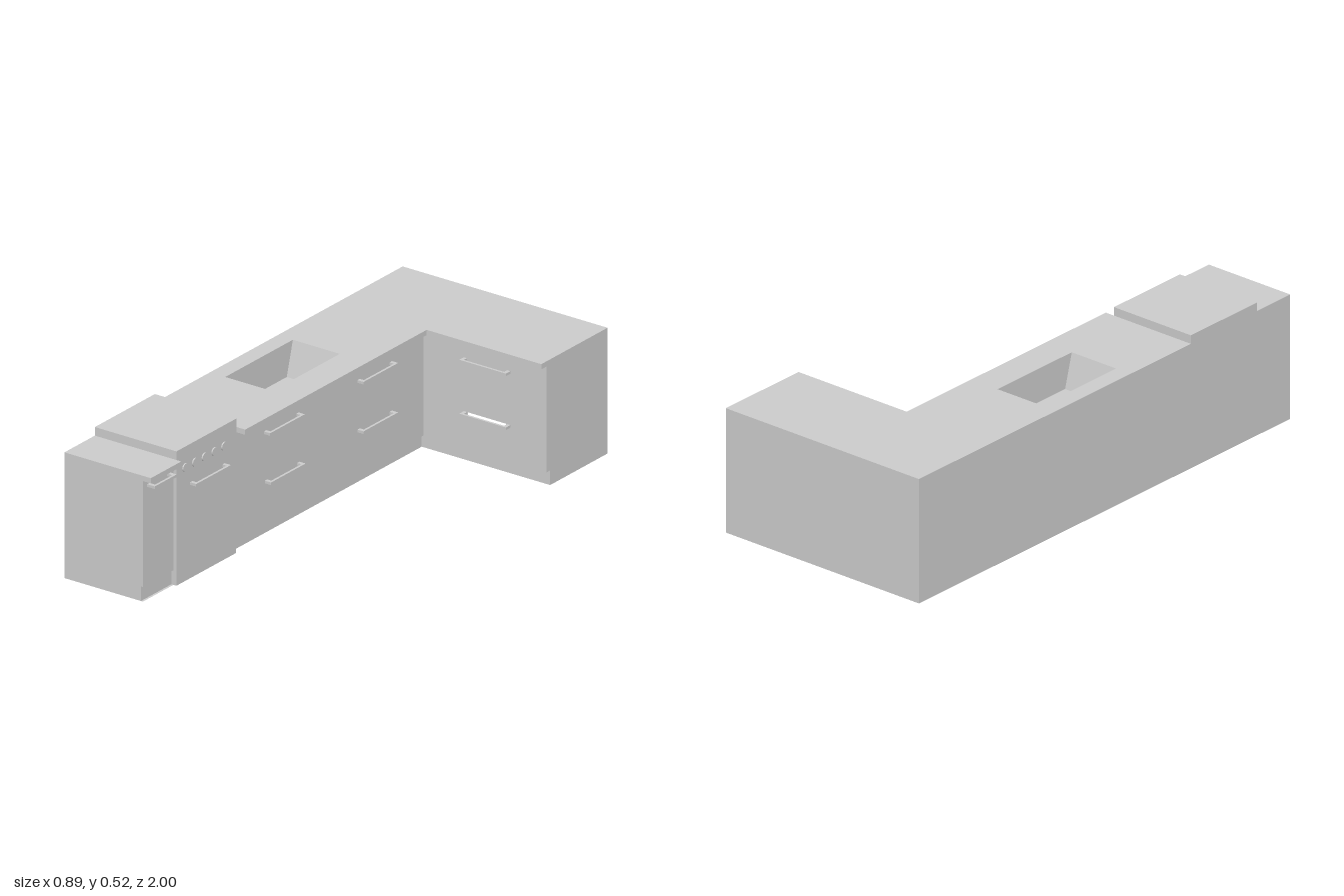
import * as THREE from 'three';

const W = 0.447;                  // half width
const TOP = 0.483, UNDER = 0.463; // worktop upper and lower faces
const KICK = 0.056;               // plinth height
const FRONT = -0.091;             // long run front plane
const END_FRONT = -0.104;         // end cabinet front plane
const PLINTH = -0.113;            // plinth plane of both
const single = new THREE.MeshStandardMaterial({ color: 0xcccccc });
const double = new THREE.MeshStandardMaterial({ color: 0xcccccc, side: THREE.DoubleSide });

export function createModel() {
  const model = new THREE.Group();

  const add = (name, geometry, material = single, parent = model) => {
    const mesh = new THREE.Mesh(geometry, material);
    mesh.name = name;
    parent.add(mesh);
    return mesh;
  };

  // Box given by its minimum and maximum corners
  const box = (name, x0, y0, z0, x1, y1, z1, parent = model) => {
    const g = new THREE.BoxGeometry(x1 - x0, y1 - y0, z1 - z0);
    g.translate((x0 + x1) / 2, (y0 + y1) / 2, (z0 + z1) / 2);
    add(name, g, single, parent);
  };

  // Upright panel from (xa, za) on its left to (xb, zb) on its right, seen from outside
  const panel = (name, xa, za, xb, zb, y0, y1) => {
    const g = new THREE.PlaneGeometry(Math.hypot(xb - xa, zb - za), y1 - y0);
    g.rotateY(Math.atan2(za - zb, xb - xa));
    g.translate((xa + xb) / 2, (y0 + y1) / 2, (za + zb) / 2);
    add(name, g, double);
  };

  // Downward-facing horizontal strip
  const ledge = (name, x0, z0, x1, z1, y = KICK) => {
    const g = new THREE.PlaneGeometry(x1 - x0, z1 - z0).rotateX(Math.PI / 2);
    g.translate((x0 + x1) / 2, y, (z0 + z1) / 2);
    add(name, g, double);
  };

  const points = list => list.map(([x, y]) => new THREE.Vector2(x, y));

  // L-shaped worktop with the sink cut-out
  const outline = new THREE.Shape(points([
    [-W, -1], [W, -1], [W, -0.608], [-0.053, -0.608], [-0.053, 0.465], [-W, 0.465],
  ]));
  const sx0 = -0.38, sx1 = -0.175, sz0 = -0.26, sz1 = 0.14;
  outline.holes.push(new THREE.Path(points([
    [sx0, sz0], [sx0, sz1], [sx1, sz1], [sx1, sz0],
  ])));
  const slab = new THREE.ExtrudeGeometry(outline, { depth: TOP - UNDER, bevelEnabled: false });
  slab.rotateX(Math.PI / 2).translate(0, TOP, 0);
  add('worktop', slab);
  box('endWorktop', -W, UNDER, 0.82, -0.07, TOP, 1);

  // Sink basin: inside-out box, no lid, ends sloping in toward the floor
  const depth = 0.13;
  const basin = new THREE.BoxGeometry(sx1 - sx0, depth, sz1 - sz0);
  const p = basin.attributes.position;
  for (let i = 0; i < p.count; i++) {
    if (p.getY(i) < 0) p.setZ(i, p.getZ(i) * 0.82);
  }
  basin.setIndex([...basin.index.array].filter((_, i) => i < 12 || i > 17).reverse());
  basin.computeVertexNormals();
  basin.translate((sx0 + sx1) / 2, TOP - depth / 2, (sz0 + sz1) / 2);
  add('sinkBasin', basin, double);
  const drain = new THREE.CylinderGeometry(0.018, 0.018, 0.002, 20);
  add('drain', drain).position.set(-0.322, TOP - depth + 0.001, -0.07);

  // Outer carcass, open underneath
  panel('backWall', W, -1, -W, -1, 0, UNDER);
  panel('sideWall', -W, -1, -W, 1, 0, UNDER);
  panel('endWall', -W, 1, END_FRONT, 1, KICK, UNDER);
  panel('endWallFoot', -W, 1, PLINTH, 1, 0, KICK);
  panel('shortRunEnd', W, -0.64, W, -1, KICK, UNDER);
  panel('shortRunEndFoot', W, -0.66, W, -1, 0, KICK);

  // Cabinet fronts; the short run has a narrow slot behind each handle
  panel('longRunFront', FRONT, 0.468, FRONT, -0.64, KICK, UNDER);
  panel('endCabinetFront', END_FRONT, 1, END_FRONT, 0.82, KICK, UNDER);
  const shortFront = new THREE.Shape(points([
    [FRONT, KICK], [W, KICK], [W, UNDER], [FRONT, UNDER],
  ]));
  const shortHandleX = 0.187, shortHandleYs = [0.398, 0.191];
  for (const y of shortHandleYs) {
    const x0 = shortHandleX - 0.083, x1 = shortHandleX + 0.083;
    shortFront.holes.push(new THREE.Path(points([
      [x0, y - 0.005], [x0, y + 0.005], [x1, y + 0.005], [x1, y - 0.005],
    ])));
  }
  add('shortRunFront', new THREE.ShapeGeometry(shortFront), double).position.z = -0.64;

  // Recessed plinths and the ledges over them
  panel('longRunPlinth', PLINTH, 0.468, PLINTH, -0.66, 0, KICK);
  panel('shortRunPlinth', PLINTH, -0.66, W, -0.66, 0, KICK);
  panel('endCabinetPlinth', PLINTH, 1, PLINTH, 0.82, 0, KICK);
  ledge('longRunLedge', PLINTH, -0.66, FRONT, 0.468);
  ledge('shortRunLedge', FRONT, -0.66, W, -0.64);
  ledge('endCabinetLedge', PLINTH, 0.82, END_FRONT, 1);
  ledge('endCabinetFootStrip', PLINTH, 0.82, END_FRONT, 1, 0);

  // Cooker: raised hob, flush front and its exposed side strips
  box('hob', -W, UNDER, 0.465, FRONT, 0.516, 0.82);
  panel('ovenFront', FRONT, 0.82, FRONT, 0.468, 0, UNDER);
  panel('ovenNearSide', PLINTH, 0.82, FRONT, 0.82, 0, UNDER);
  panel('ovenFarSide', FRONT, 0.468, PLINTH, 0.468, 0, KICK);
  for (let i = 0; i < 5; i++) {
    const knob = new THREE.CylinderGeometry(0.016, 0.016, 0.006, 20).rotateZ(Math.PI / 2);
    add('knob', knob).position.set(FRONT + 0.002, 0.437, 0.54 + i * 0.0575);
  }

  // Bar handle on two posts; local x runs along it, local z points out
  const handle = (name, length, out = 0.027) => {
    const group = new THREE.Group();
    group.name = name;
    const h = length / 2, t = 0.005;
    box('bar', -h, -t, out - 0.009, h, t, out, group);
    box('post', -h, -t, 0, -h + 0.014, t, out - 0.009, group);
    box('post', h - 0.014, -t, 0, h, t, out - 0.009, group);
    model.add(group);
    return group;
  };

  // Handles facing +x: [name, front x, y, centre z, length, reach]
  for (const [name, x, y, z, length, out] of [
    ['longRunHandle', FRONT, 0.403, 0.2, 0.205],
    ['longRunHandle', FRONT, 0.212, 0.195, 0.205],
    ['longRunHandle', FRONT, 0.403, -0.352, 0.205],
    ['longRunHandle', FRONT, 0.213, -0.352, 0.205],
    ['ovenHandle', FRONT, 0.364, 0.637, 0.205],
    ['endCabinetHandle', END_FRONT, 0.437, 0.91, 0.13, 0.033],
  ]) {
    const bar = handle(name, length, out);
    bar.position.set(x, y, z);
    bar.rotation.y = Math.PI / 2;
  }
  for (const y of shortHandleYs) {
    handle('shortRunHandle', 0.203).position.set(shortHandleX, y, -0.64);
  }

  return model;
}
